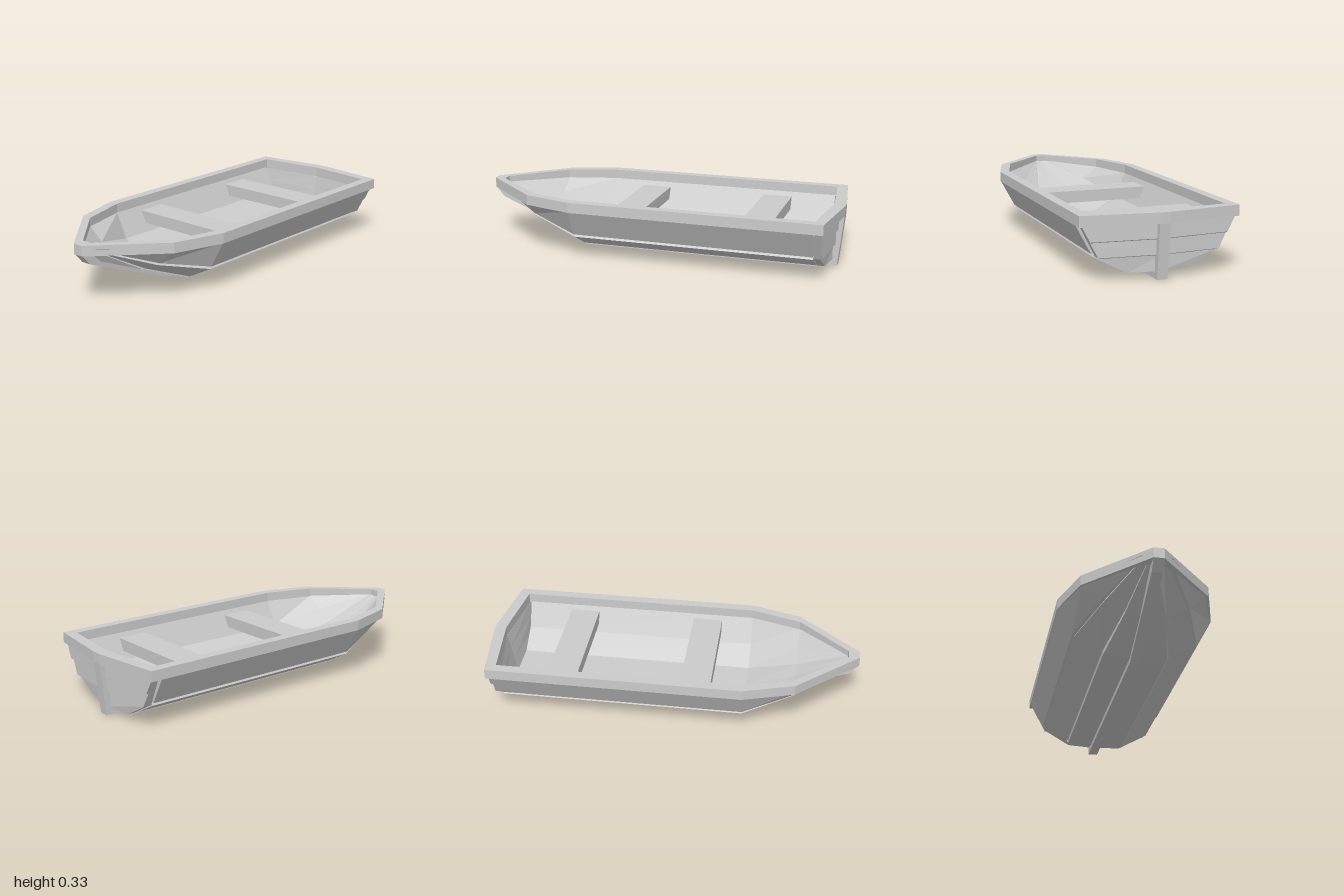
import * as THREE from 'three';

const material = new THREE.MeshStandardMaterial({ color: 0xcccccc, flatShading: true, side: THREE.DoubleSide });

function part(name, geometry, parent) {
  const mesh = new THREE.Mesh(geometry, material);
  mesh.name = name;
  parent.add(mesh);
  return mesh;
}

// Joins closed rings of points into a capped solid; flatten() projects a ring for its caps.
function loft(rings, flatten) {
  const n = rings[0].length;
  const last = (rings.length - 1) * n;
  const index = [];
  for (let r = 0; r < rings.length - 1; r++) {
    for (let i = 0; i < n; i++) {
      const a = r * n + i, b = r * n + (i + 1) % n;
      index.push(a, b, a + n, b, b + n, a + n);
    }
  }
  for (const start of [0, last]) {
    const contour = rings[start / n].map(flatten);
    for (const [a, b, c] of THREE.ShapeUtils.triangulateShape(contour, [])) {
      if (start) index.push(a + start, b + start, c + start);
      else index.push(a, c, b);
    }
  }
  const indexed = new THREE.BufferGeometry();
  indexed.setAttribute('position', new THREE.Float32BufferAttribute(rings.flat(2), 3));
  indexed.setIndex(index);
  const geometry = indexed.toNonIndexed();
  geometry.computeVertexNormals();
  return geometry;
}

const mirrored = (half) => [...half.slice(1).reverse().map(([x, y]) => [-x, y]), ...half];

function outline(half) {
  return mirrored(half).map(([x, y]) => new THREE.Vector2(x, y));
}

// Half cross-sections: outer planks with grooves between them, then the plain inner skin.
const midOuter = [[0, 0.027], [0.168, 0.033], [0.168, 0.058], [0.178, 0.042], [0.322, 0.118], [0.309, 0.14], [0.329, 0.133], [0.409, 0.28]];
const midInner = [[0, 0.062], [0.165, 0.065], [0.29, 0.146], [0.357, 0.28]];
const stations = [
  { z: -0.89, outer: midOuter, inner: midInner },
  { z: 0.4, outer: midOuter, inner: midInner },
  {
    z: 0.67,
    outer: [[0, 0.128], [0.105, 0.138], [0.101, 0.16], [0.12, 0.147], [0.215, 0.187], [0.2, 0.212], [0.228, 0.2], [0.322, 0.285]],
    inner: [[0, 0.162], [0.098, 0.167], [0.19, 0.218], [0.277, 0.285]],
  },
  {
    z: 0.95,
    outer: [[0, 0.245], [0.035, 0.298], [0.036, 0.304], [0.043, 0.3], [0.064, 0.297], [0.064, 0.304], [0.068, 0.303], [0.075, 0.31]],
    inner: [[0, 0.298], [0.027, 0.302], [0.029, 0.306], [0.032, 0.31]],
  },
];

function createHull(parent) {
  const rings = stations.map(({ z, outer, inner }) =>
    [...mirrored(outer), ...mirrored(inner).reverse()].map(([x, y]) => [x, y, z]));
  part('plankedHull', loft(rings, ([x, y]) => new THREE.Vector2(x, y)), parent);
}

// Gunwale rim: outline with the open cockpit as a hole (shape y is -z).
function createRim(parent) {
  const shape = new THREE.Shape(outline([[0, 1], [0.027, 1], [0.41, 0.95], [0.41, -0.4], [0.328, -0.67], [0.027, -1], [0, -1]]));
  shape.holes.push(new THREE.Path(outline([[0, 0.94], [0.357, 0.9], [0.357, -0.4], [0.275, -0.67], [0.027, -0.94], [0, -0.94]])));
  const geometry = new THREE.ExtrudeGeometry(shape, { depth: 0.055, bevelEnabled: false });
  geometry.rotateX(-Math.PI / 2).translate(0, 0.275, 0);
  part('gunwaleRim', geometry, parent);
}

// Stem, keel and stern post as one bar.
function createKeel(parent) {
  const profile = [[1, 0.28], [0.95, 0.222], [0.4, 0], [-0.97, 0], [-1, 0.28], [-0.95, 0.28], [-0.915, 0.045], [0.4, 0.045], [0.67, 0.145], [0.94, 0.28]];
  const shape = new THREE.Shape(profile.map(([z, y]) => new THREE.Vector2(z, y)));
  const geometry = new THREE.ExtrudeGeometry(shape, { depth: 0.054, bevelEnabled: false });
  geometry.rotateY(-Math.PI / 2).translate(0.027, 0, 0);
  part('keel', geometry, parent);
}

// Transom of three lapped boards, bent back along the centre line.
function createTransom(parent) {
  const widthAt = (y) => y < 0.12
    ? THREE.MathUtils.mapLinear(y, 0.036, 0.12, 0.16, 0.31)
    : THREE.MathUtils.mapLinear(y, 0.12, 0.28, 0.31, 0.395);
  const row = (y, step) => {
    const t = (y - 0.036) / 0.244;
    const w = widthAt(y);
    const side = -0.915 - 0.025 * t - step;
    const centre = -0.937 - 0.035 * t - step;
    return [
      [-w, y, side], [0, y, centre], [w, y, side],
      [w, y, -0.885 - 0.015 * t], [0, y, -0.895 - 0.045 * t], [-w, y, -0.885 - 0.015 * t],
    ];
  };
  const edges = [0.036, 0.12, 0.2, 0.28];
  const rings = [];
  for (let i = 0; i < 3; i++) {
    rings.push(row(edges[i], 0.012), row(edges[i + 1] - 0.006, 0));
  }
  part('transom', loft(rings, ([x, , z]) => new THREE.Vector2(x, z)), parent);
}

// Bench seats with ends sloped to meet the hull.
function createBench(name, z, parent) {
  const shape = new THREE.Shape(outline([[0, 0.19], [0.312, 0.19], [0.345, 0.255], [0, 0.255]]));
  const geometry = new THREE.ExtrudeGeometry(shape, { depth: 0.162, bevelEnabled: false });
  geometry.translate(0, 0, z - 0.081);
  part(name, geometry, parent);
}

export function createModel() {
  const boat = new THREE.Group();
  boat.name = 'rowingBoat';
  createHull(boat);
  createRim(boat);
  createKeel(boat);
  createTransom(boat);
  createBench('frontBench', 0.146, boat);
  createBench('rearBench', -0.567, boat);
  return boat;
}
